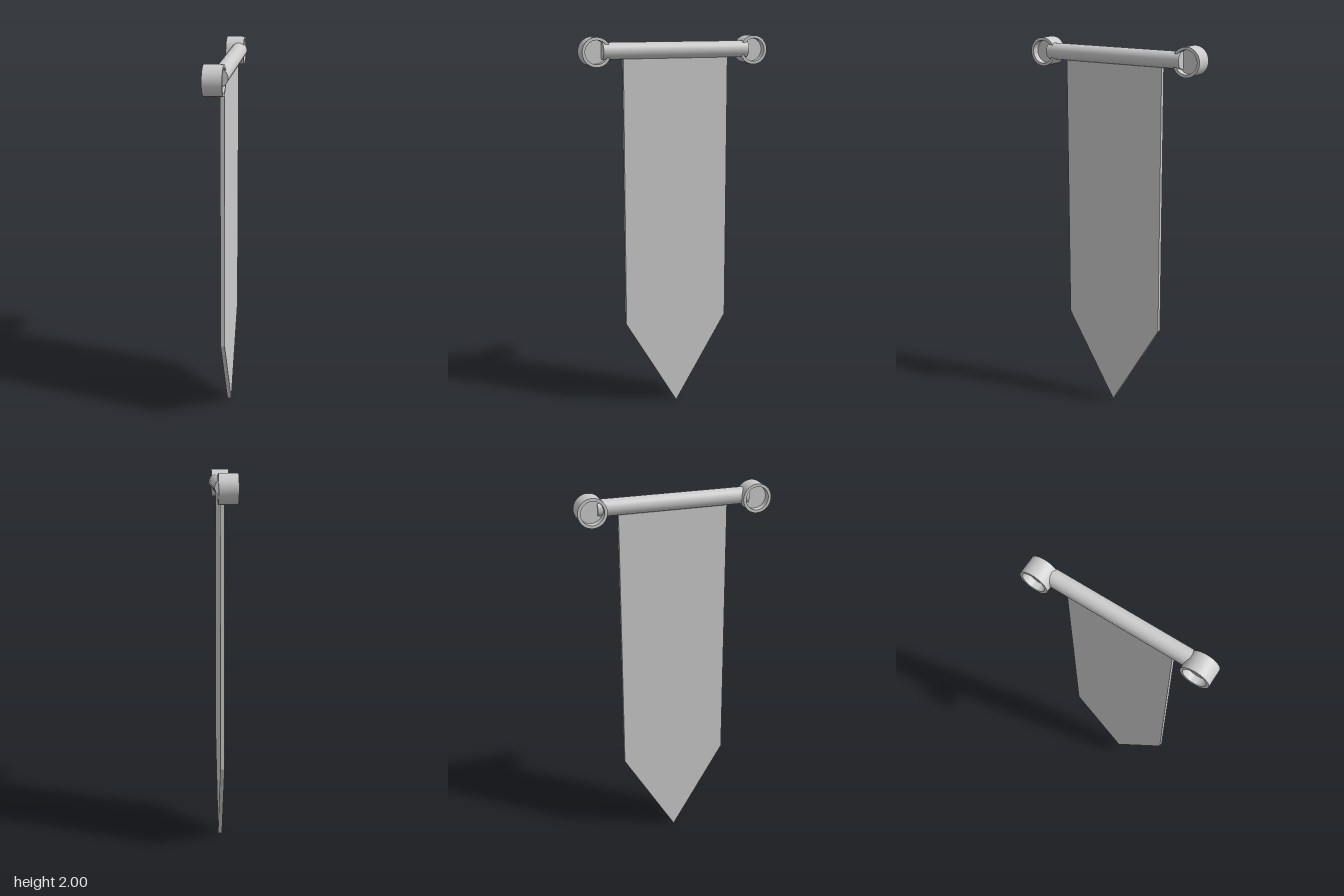
import * as THREE from 'three';
import { toCreasedNormals } from 'three/addons/utils/BufferGeometryUtils.js';

export function createModel() {
  const model = new THREE.Group();
  model.name = 'hangingBanner';
  const material = new THREE.MeshStandardMaterial({ color: 0xcccccc });

  // Everything is built facing +z, then the whole banner is turned
  const banner = new THREE.Group();
  banner.name = 'banner';
  banner.rotation.y = THREE.MathUtils.degToRad(35.2);
  model.add(banner);

  const add = (name, geometry, x, y, z) => {
    const mesh = new THREE.Mesh(geometry, material);
    mesh.name = name;
    mesh.position.set(x, y, z);
    banner.add(mesh);
    return mesh;
  };

  // Pointed cloth
  const w = 0.285, thickness = 0.022, forward = 0.02;
  const outline = new THREE.Shape([
    new THREE.Vector2(0, 0),
    new THREE.Vector2(w, 0.475),
    new THREE.Vector2(w, 1.92),
    new THREE.Vector2(-w, 1.92),
    new THREE.Vector2(-w, 0.475),
  ]);
  const cloth = new THREE.ExtrudeGeometry(outline, { depth: thickness, bevelEnabled: false });
  add('cloth', cloth, 0, 0, forward - thickness / 2);

  // Horizontal rod
  const rod = new THREE.CylinderGeometry(0.043, 0.043, 0.79, 32);
  rod.rotateZ(Math.PI / 2);
  add('rod', rod, 0, 1.93, forward);

  // Round end caps, recessed on both faces
  const outer = 0.075, inner = 0.06, half = 0.048, web = 0.01;
  const profile = [
    [0, -web], [inner, -web], [inner, -half], [outer, -half],
    [outer, half], [inner, half], [inner, web], [0, web],
  ].map(([r, y]) => new THREE.Vector2(r, y));
  const cap = toCreasedNormals(new THREE.LatheGeometry(profile, 40), 0.6);
  cap.rotateX(Math.PI / 2);
  for (const side of [-1, 1]) {
    add(side > 0 ? 'leftEndCap' : 'rightEndCap', cap, side * 0.428, 1.925, 0);
  }

  return model;
}
